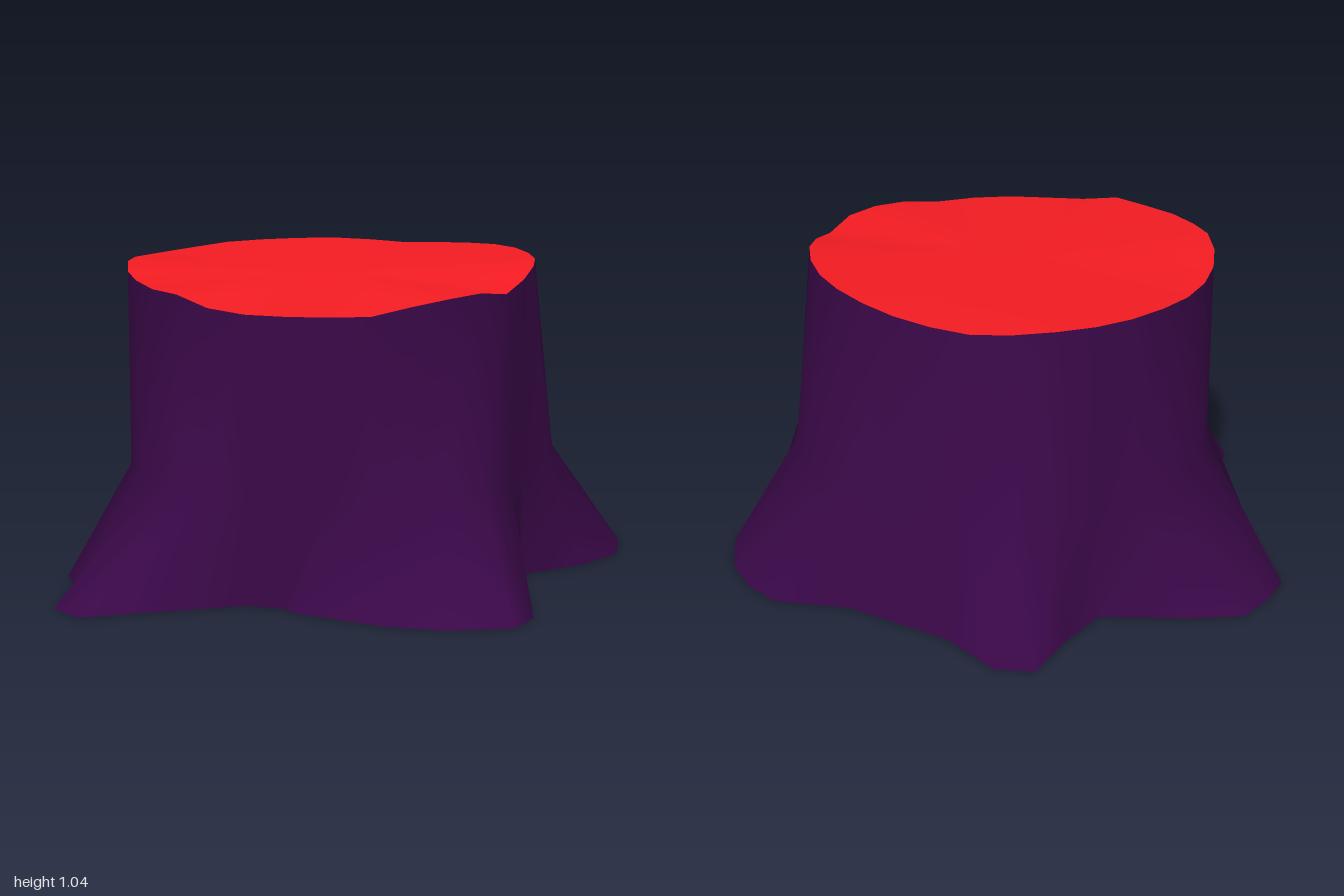
import * as THREE from 'three';

const N = 32;

// Root outline on the ground, [x, z], running from the back towards +x
const ROOTS = [
  [-0.06, -0.84], [0.07, -1], [0.2, -0.96], [0.32, -0.74], [0.6, -0.48], [0.85, -0.38], [0.92, -0.26], [0.955, -0.12],
  [0.93, 0.08], [0.8, 0.22], [0.58, 0.35], [0.56, 0.47], [0.59, 0.86], [0.52, 0.98], [0.29, 1], [0.11, 0.96],
  [-0.17, 0.82], [-0.21, 0.77], [-0.34, 0.73], [-0.56, 0.79], [-0.87, 0.87], [-0.96, 0.77], [-0.92, 0.5], [-0.96, 0.38],
  [-0.78, 0.08], [-0.76, -0.05], [-0.87, -0.39], [-0.88, -0.6], [-0.8, -0.7], [-0.69, -0.79], [-0.5, -0.77], [-0.21, -0.7],
];

// Uneven height of the cut edge, same order
const RIM = [
  1.02, 1.015, 1.01, 1.02, 1.03, 1.04, 1.045, 1.045, 1.045, 1.04, 1.015, 0.985, 1.005, 1.0, 0.985, 0.96,
  0.96, 0.96, 0.96, 0.97, 1.0, 1.0, 1.01, 1.02, 1.035, 1.03, 1.02, 1.015, 1.015, 1.02, 1.02, 1.02,
];

const CENTRE = [-0.07, 0.08];
const RADIUS = 0.698;

function makeGeometry(points, index) {
  const g = new THREE.BufferGeometry();
  g.setAttribute('position', new THREE.Float32BufferAttribute(points.flat(), 3));
  g.setIndex(index);
  g.computeVertexNormals();
  return g;
}

function makeMesh(name, geometry, color) {
  const material = new THREE.MeshStandardMaterial({ color, side: THREE.DoubleSide });
  const mesh = new THREE.Mesh(geometry, material);
  mesh.name = name;
  return mesh;
}

// Point number i on a circle around the trunk axis
function trunkPoint(i, radius, y) {
  const a = (i / N) * Math.PI * 2;
  return [CENTRE[0] + radius * Math.sin(a), y, CENTRE[1] - radius * Math.cos(a)];
}

export function createModel() {
  const group = new THREE.Group();
  group.name = 'treeStump';

  // Three rings: ground, flare line and cut edge
  const base = ROOTS.map(([x, z]) => [x, 0, z]);
  const top = RIM.map((y, i) => trunkPoint(i, RADIUS, y));

  // The flare line swells towards the back left, but never past the roots
  const flare = ROOTS.map(([x, z], i) => {
    const lean = Math.cos((i / N) * Math.PI * 2 - Math.PI / 4);
    const spread = Math.hypot(x - CENTRE[0], z - CENTRE[1]) - RADIUS;
    const swell = Math.max(0, Math.min(0.02 + 0.07 * lean, 0.4 * spread));
    return trunkPoint(i, RADIUS + swell, 0.37 + 0.015 * lean);
  });

  // Bark skin, open underneath
  const bark = [];
  for (let r = 0; r < 2; r++) {
    for (let i = 0; i < N; i++) {
      const a = r * N + i, b = r * N + (i + 1) % N;
      bark.push(a, a + N, b, b, a + N, b + N);
    }
  }
  group.add(makeMesh('bark', makeGeometry([...base, ...flare, ...top], bark), 0x3a0848));

  // Cut face: a fan that follows the uneven rim
  const fan = [];
  for (let i = 0; i < N; i++) fan.push(N, (i + 1) % N, i);
  group.add(makeMesh('cutFace', makeGeometry([...top, [CENTRE[0], 1.0, CENTRE[1]]], fan), 0xf51c22));

  return group;
}
